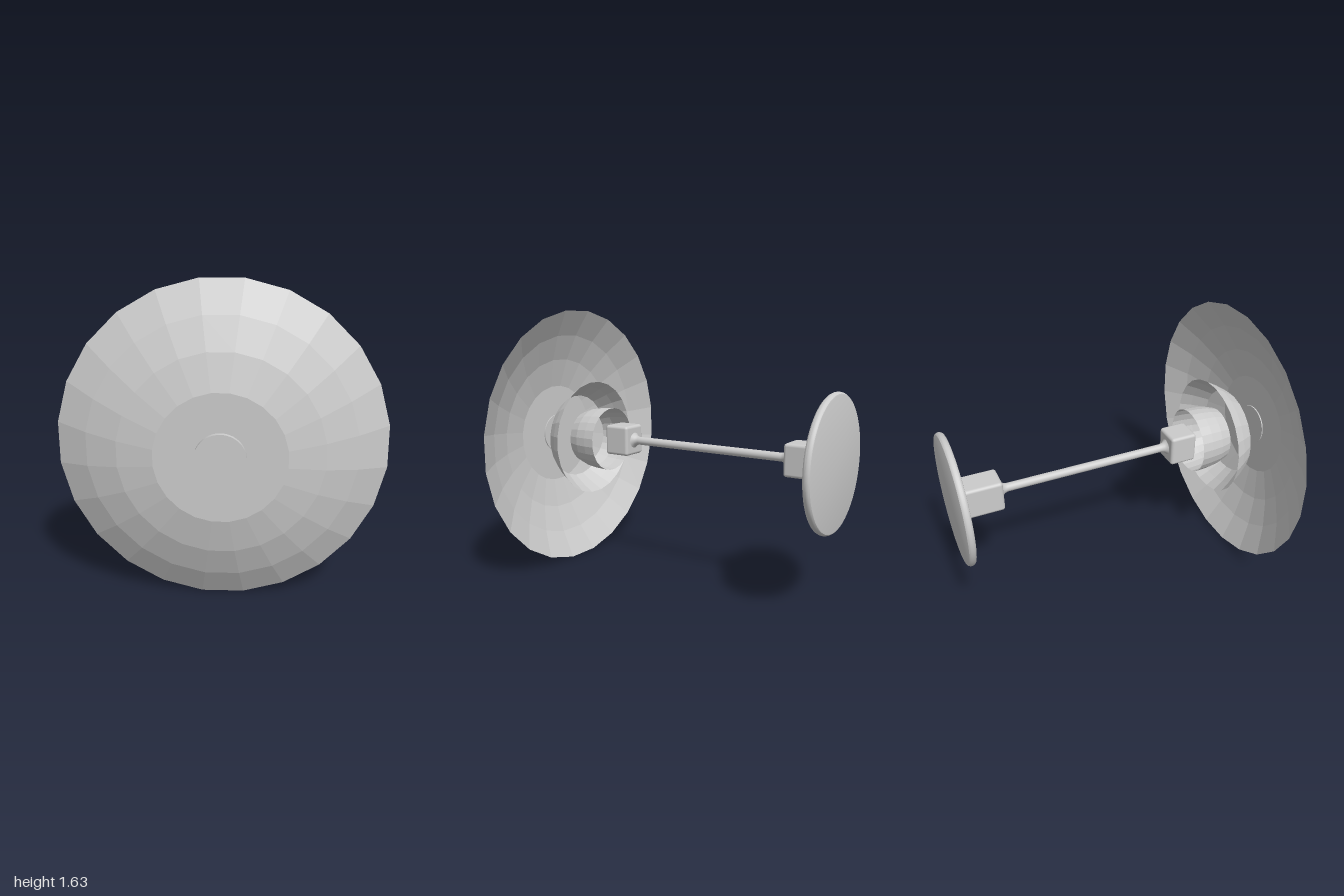
import * as THREE from 'three';
import { toCreasedNormals } from 'three/addons/utils/BufferGeometryUtils.js';
import { RoundedBoxGeometry } from 'three/addons/geometries/RoundedBoxGeometry.js';

const AXIS_Y = 0.813; // height of the lamp's horizontal axis
const STEM_X = -0.016; // stem sits slightly off centre
const STEM_Y = 0.82;

const smooth = new THREE.MeshStandardMaterial({ color: 0xcccccc });
const faceted = new THREE.MeshStandardMaterial({ color: 0xcccccc, flatShading: true, side: THREE.DoubleSide });

// Revolves [radius, z] pairs around the z axis, listed from back to front.
function revolve(profile, sides) {
  const points = profile.map(([r, z]) => new THREE.Vector2(r, z));
  return new THREE.LatheGeometry(points, sides, Math.PI / sides).rotateX(Math.PI / 2);
}

export function createModel() {
  const lamp = new THREE.Group();
  lamp.name = 'lamp';

  function add(name, geometry, material, x, y, z = 0) {
    const mesh = new THREE.Mesh(geometry, material);
    mesh.name = name;
    mesh.position.set(x, y, z);
    lamp.add(mesh);
  }

  // Three thin faceted shades
  const shades = {
    mainShade: [[0.82, 0.77], [0.66, 0.865], [0.5, 0.932], [0.32, 0.977], [0, 0.977]],
    middleShade: [[0.362, 0.64], [0.325, 0.705], [0.28, 0.77], [0.265, 0.79]],
    innerShade: [[0.2, 0.5], [0.197, 0.57], [0.188, 0.64], [0.165, 0.71]],
  };
  for (const [name, profile] of Object.entries(shades)) {
    add(name, revolve(profile, 24), faceted, 0, AXIS_Y);
  }

  // Round cap at the front of the main shade
  const cap = new THREE.CylinderGeometry(0.124, 0.124, 0.03, 48).rotateX(Math.PI / 2);
  add('frontCap', cap, smooth, 0, AXIS_Y + 0.003, 0.985);

  // Mounting plate with rounded rim
  const plate = [[0, -1]];
  for (let i = 0; i <= 8; i++) {
    const a = (i / 8 - 0.5) * Math.PI;
    plate.push([0.365 + 0.016 * Math.cos(a), -0.979 + 0.021 * Math.sin(a)]);
  }
  plate.push([0, -0.958]);
  add('mountingPlate', toCreasedNormals(revolve(plate, 64), 0.41), smooth, 0, 0.817);

  // Rod, flaring where it meets the two sockets
  const rod = [[0.06, -0.725], [0.042, -0.715], [0.03, -0.7], [0.025, -0.68],
    [0.025, 0.295], [0.03, 0.315], [0.042, 0.33], [0.06, 0.34]];
  add('rod', revolve(rod, 24), smooth, STEM_X, STEM_Y);

  // Square sockets at both ends of the rod
  add('rearSocket', new RoundedBoxGeometry(0.166, 0.186, 0.26, 3, 0.018), smooth, STEM_X, STEM_Y, -0.85);
  add('frontSocket', new RoundedBoxGeometry(0.166, 0.186, 0.168, 3, 0.018), smooth, STEM_X, STEM_Y, 0.417);

  // Flared foot between rear socket and plate
  const foot = new THREE.CylinderGeometry(0.083 * Math.SQRT2, 0.108 * Math.SQRT2, 0.028, 4, 1, true)
    .rotateY(Math.PI / 4).rotateX(Math.PI / 2).scale(1, 1.1, 1);
  add('socketFoot', toCreasedNormals(foot, 0.5), smooth, STEM_X, STEM_Y, -0.944);

  return lamp;
}
